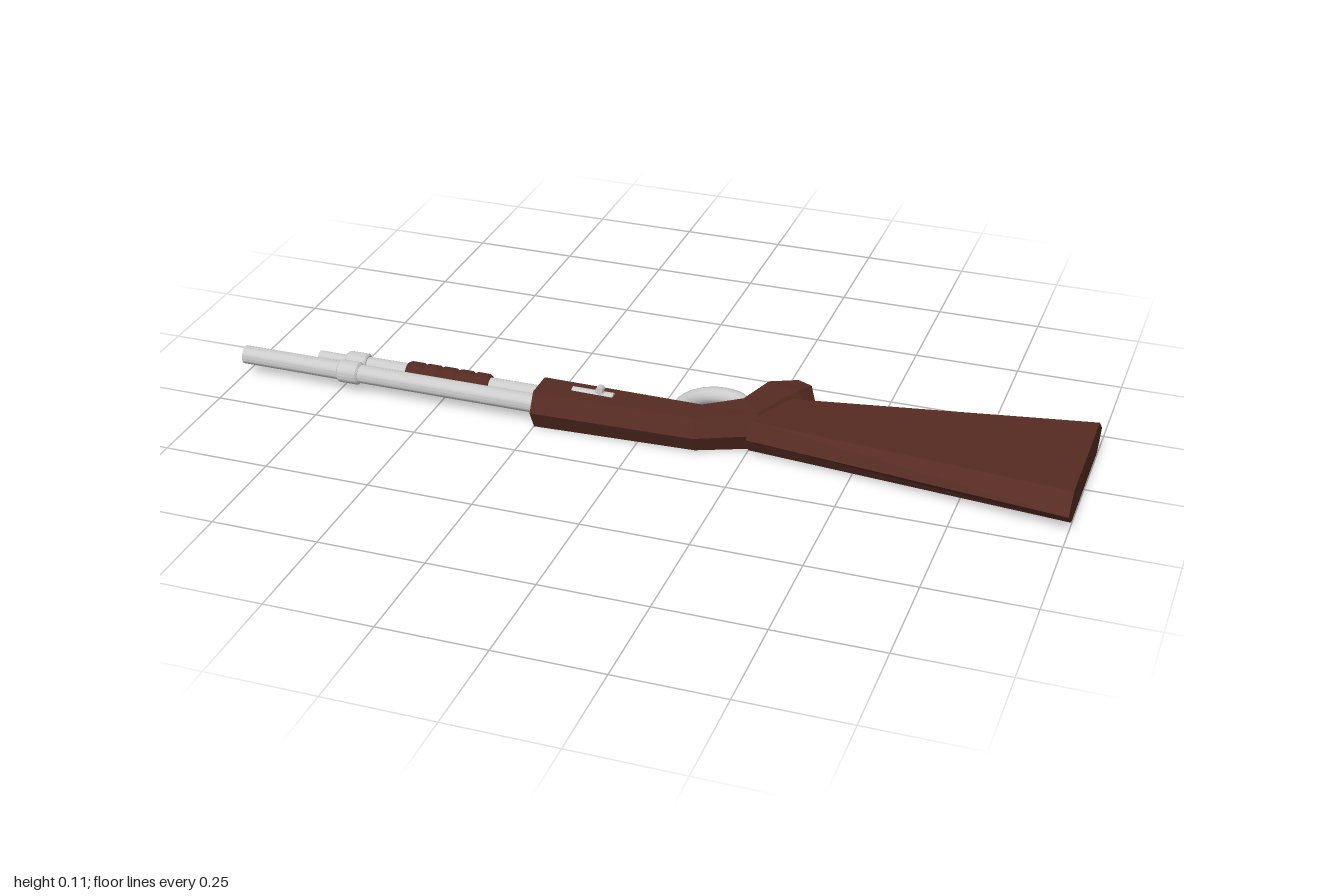
import * as THREE from 'three';
import { toCreasedNormals } from 'three/addons/utils/BufferGeometryUtils.js';

const grey = new THREE.MeshStandardMaterial({ color: 0xcccccc });
const wood = new THREE.MeshStandardMaterial({ color: 0x552b22, flatShading: true });
const woodRound = new THREE.MeshStandardMaterial({ color: 0x552b22 });
const MID = 0.05; // height of the centre plane

// Hexagonal loft: each section runs from point a to point b, both [x, z]
function hexLoft(sections) {
  const pos = [];
  const rings = sections.map(({ a, b, lo, hi, inset }) => {
    const at = (t, y) => [a[0] + (b[0] - a[0]) * t, y, a[1] + (b[1] - a[1]) * t];
    return [at(0, MID), at(inset, hi), at(1 - inset, hi), at(1, MID), at(1 - inset, lo), at(inset, lo)];
  });
  const tri = (p, q, r) => pos.push(...p, ...q, ...r);
  for (let i = 0; i < rings.length - 1; i++) {
    for (let k = 0; k < 6; k++) {
      const n = (k + 1) % 6;
      tri(rings[i][k], rings[i][n], rings[i + 1][n]);
      tri(rings[i][k], rings[i + 1][n], rings[i + 1][k]);
    }
  }
  const first = rings[0], last = rings[rings.length - 1];
  for (let k = 1; k < 5; k++) {
    tri(first[0], first[k + 1], first[k]);
    tri(last[0], last[k], last[k + 1]);
  }
  const geo = new THREE.BufferGeometry();
  geo.setAttribute('position', new THREE.Float32BufferAttribute(pos, 3));
  geo.computeVertexNormals();
  return geo;
}

// Turned part along x; profile is [radius, x], listed towards -x
function turned(profile, z, y = MID) {
  const geo = new THREE.LatheGeometry(profile.map(([r, x]) => new THREE.Vector2(r, -x)), 20);
  geo.rotateZ(Math.PI / 2);
  return toCreasedNormals(geo, 0.6).translate(0, y, z);
}

export function createModel() {
  const model = new THREE.Group();
  const add = (name, geo, mat) => {
    const mesh = new THREE.Mesh(geo, mat);
    mesh.name = name;
    model.add(mesh);
    return mesh;
  };

  // Flared butt stock
  add('stock', hexLoft([
    { a: [0.255, -0.05], b: [0.255, 0.115], lo: 0.012, hi: 0.088, inset: 0.14 },
    { a: [1, -0.206], b: [1, 0.206], lo: 0.01, hi: 0.088, inset: 0.115 },
  ]), wood);

  // Receiver bending into the grip
  add('receiver', hexLoft([
    { a: [-0.25, 0.035], b: [-0.25, 0.158], lo: 0.003, hi: 0.094, inset: 0.2 },
    { a: [0.13, 0.035], b: [0.14, 0.148], lo: 0.008, hi: 0.09, inset: 0.2 },
    { a: [0.2, -0.01], b: [0.28, 0.085], lo: 0.004, hi: 0.096, inset: 0.2 },
    { a: [0.222, -0.095], b: [0.348, -0.06], lo: 0.004, hi: 0.096, inset: 0.2 },
    { a: [0.295, -0.133], b: [0.355, -0.105], lo: 0.01, hi: 0.09, inset: 0.2 },
  ]), wood);

  // Hollow barrel
  add('barrel', turned([
    [0.022, -0.24], [0.022, -1], [0.017, -1], [0.017, -0.9], [0, -0.9],
  ], 0.11), grey);

  // Magazine tube with stepped tip
  add('magazineTube', turned([
    [0.02, -0.24], [0.02, -0.755], [0.016, -0.755], [0.016, -0.825], [0, -0.825],
  ], 0.064), grey);

  // Band joining both tubes
  for (const z of [0.064, 0.11]) {
    add('band', turned([[0, -0.698], [0.023, -0.698], [0.027, -0.702], [0.027, -0.748],
      [0.023, -0.752], [0, -0.752]], z), grey);
  }

  // Ribbed sliding forend
  const ribs = [[0, -0.385], [0.023, -0.385]];
  for (let i = 0; i < 5; i++) {
    const x = -0.385 - i * 0.042;
    ribs.push([0.027, x - 0.006], [0.027, x - 0.034], [0.023, x - 0.042]);
  }
  ribs.push([0, -0.595]);
  add('forend', turned(ribs, 0.064), woodRound);

  // Ring guard with trigger inside
  const guard = new THREE.TorusGeometry(0.08, 0.02, 12, 32);
  guard.rotateX(Math.PI / 2).translate(0.147, MID, 0.013);
  add('triggerGuard', guard, grey);
  const path = new THREE.CatmullRomCurve3([
    new THREE.Vector3(0.155, MID, 0.05),
    new THREE.Vector3(0.162, MID, 0.015),
    new THREE.Vector3(0.143, MID, -0.02),
  ]);
  add('trigger', new THREE.TubeGeometry(path, 8, 0.007, 8), grey);

  // Bolt with upright handle
  add('bolt', turned([[0, -0.07], [0.012, -0.07], [0.012, -0.17], [0, -0.17]], 0.088, 0.086), grey);
  const handle = new THREE.CylinderGeometry(0.006, 0.008, 0.026, 10);
  handle.rotateZ(0.35).translate(-0.098, 0.095, 0.091);
  add('boltHandle', handle, grey);
  const knob = new THREE.CylinderGeometry(0.009, 0.009, 0.018, 12);
  knob.rotateX(Math.PI / 2).translate(-0.102, 0.104, 0.091);
  add('boltKnob', knob, grey);

  // Loading port frame on the underside of the receiver
  for (const x of [-0.15, -0.06]) {
    add('portFrame', new THREE.BoxGeometry(0.01, 0.035, 0.012).translate(x, MID, 0.038), wood);
  }
  return model;
}
